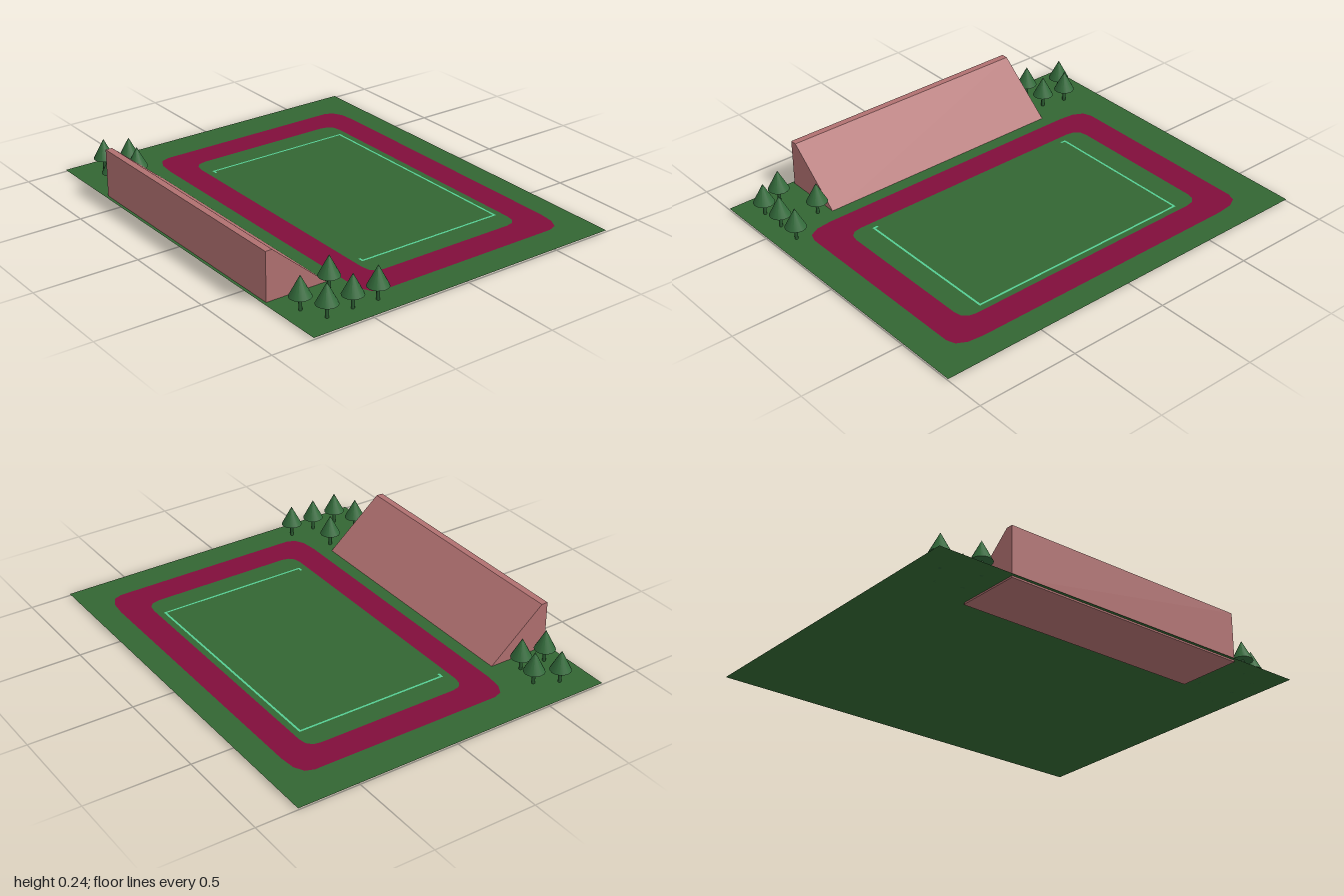
import * as THREE from 'three';

const mat = (name, color, side = THREE.FrontSide) => {
  const m = new THREE.MeshStandardMaterial({ color, side });
  m.name = name;
  return m;
};

// Rounded rectangle outline, drawn with y = -z so it can be laid flat
function roundedOutline(path, x0, x1, z0, z1, rx, rz) {
  const b = -z1, t = -z0;
  path.moveTo(x0 + rx, b);
  path.lineTo(x1 - rx, b);
  path.quadraticCurveTo(x1, b, x1, b + rz);
  path.lineTo(x1, t - rz);
  path.quadraticCurveTo(x1, t, x1 - rx, t);
  path.lineTo(x0 + rx, t);
  path.quadraticCurveTo(x0, t, x0, t - rz);
  path.lineTo(x0, b + rz);
  path.quadraticCurveTo(x0, b, x0 + rx, b);
  return path;
}

export function createModel() {
  const model = new THREE.Group();
  model.name = 'sportsGround';
  const grass = mat('grass green', 0x336633, THREE.DoubleSide);
  const clay = mat('track red', 0x800d3b);
  const paint = mat('line mint', 0x55cc92);
  const brick = mat('stand pink', 0xb07070);
  const leaf = mat('leaf green', 0x336b3b);
  const bark = mat('trunk green', 0x2c5c32);

  const add = (name, geometry, material, parent = model) => {
    const mesh = new THREE.Mesh(geometry, material);
    mesh.name = name;
    parent.add(mesh);
    return mesh;
  };

  // Flat field
  const groundY = 0.008;
  add('field', new THREE.PlaneGeometry(2, 1.6).rotateX(-Math.PI / 2), grass).position.y = groundY;

  // Running track with an open middle
  const ring = roundedOutline(new THREE.Shape(), -0.825, 0.852, -0.677, 0.413, 0.14, 0.075);
  ring.holes.push(roundedOutline(new THREE.Path(), -0.682, 0.708, -0.542, 0.283, 0.07, 0.065));
  add('runningTrack', new THREE.ShapeGeometry(ring, 3).rotateX(-Math.PI / 2), clay).position.y = groundY + 0.002;

  // Pitch markings: x, z, width, depth
  const lines = new THREE.Group();
  lines.name = 'pitchLines';
  model.add(lines);
  for (const [x, z, w, d] of [
    [0.014, -0.506, 1.166, 0.01],
    [-0.564, -0.131, 0.01, 0.76],
    [0.592, -0.131, 0.01, 0.76],
    [-0.552, 0.244, 0.022, 0.01],
    [0.58, 0.244, 0.022, 0.01],
  ]) {
    const line = add('pitchLine', new THREE.PlaneGeometry(w, d).rotateX(-Math.PI / 2), paint, lines);
    line.position.set(x, groundY + 0.0015, z);
  }

  // Wedge-shaped grandstand, profile swept along x
  const profile = new THREE.Shape([
    [-0.785, 0], [-0.47, 0], [-0.752, 0.24], [-0.785, 0.24],
  ].map(([x, y]) => new THREE.Vector2(x, y)));
  const wedge = new THREE.ExtrudeGeometry(profile, { depth: 1.276, bevelEnabled: false });
  add('grandstand', wedge.rotateY(Math.PI / 2), brick).position.x = -0.624;

  // Trees in two clumps beside the stand
  const trunk = new THREE.CylinderGeometry(0.008, 0.008, 0.07, 10).translate(0, 0.043, 0);
  const crown = new THREE.ConeGeometry(0.05, 0.097, 16).translate(0, 0.1205, 0);
  for (const [x, z] of [
    [-0.83, 0.548], [-0.886, 0.652], [-0.711, 0.574], [-0.717, 0.705],
    [0.712, 0.511], [0.902, 0.404], [0.899, 0.531], [0.899, 0.661], [0.786, 0.711],
  ]) {
    const tree = new THREE.Group();
    tree.name = 'tree';
    tree.position.set(x, 0, z);
    add('trunk', trunk, bark, tree);
    add('crown', crown, leaf, tree);
    model.add(tree);
  }
  return model;
}
